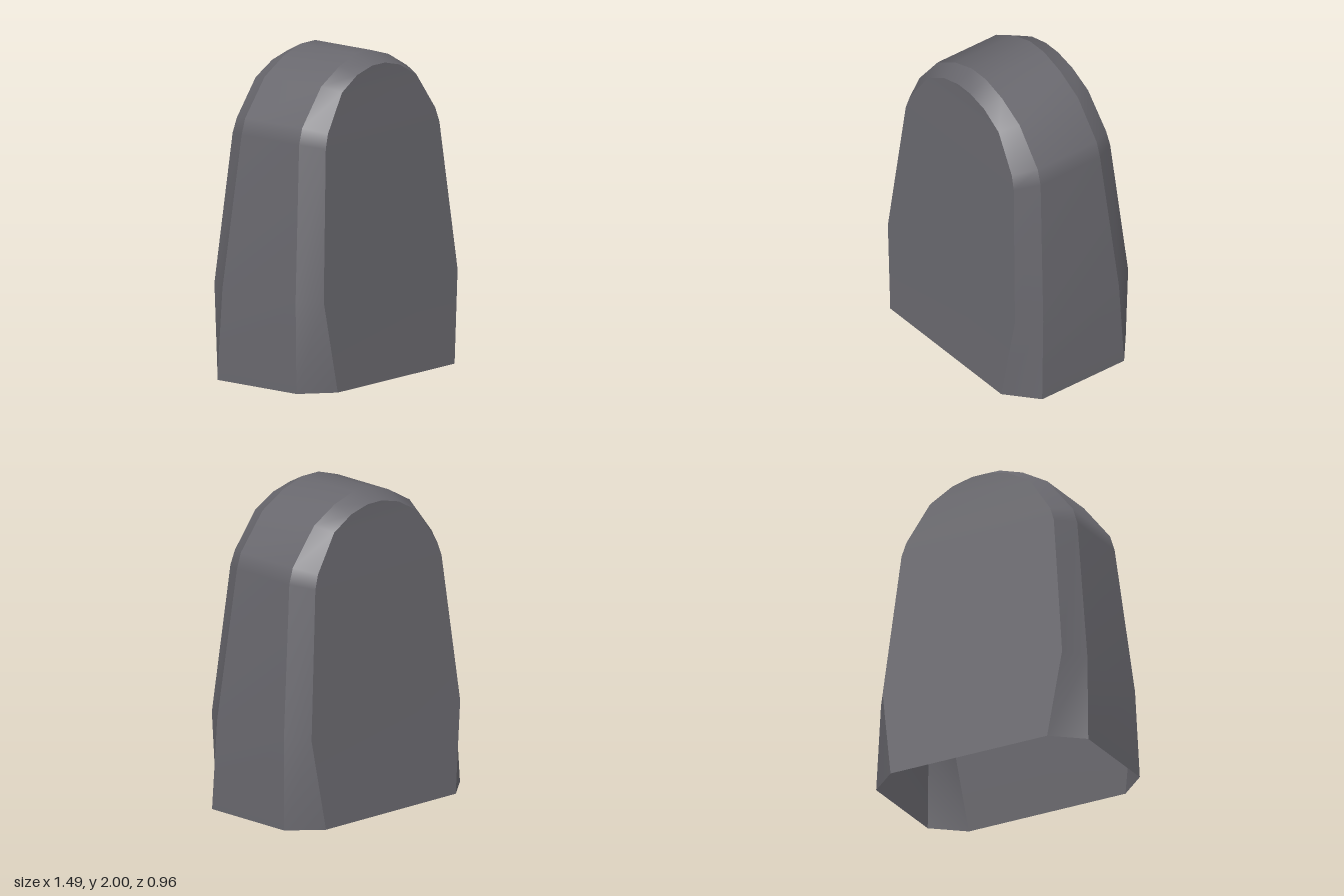
import * as THREE from 'three';

// Right half of the outline from base to crown: [x, y, z]
const rimHalf = [
  [0.745, 0, 0.317], [0.725, 0.57, 0.293], [0.618, 1.52, 0.23], [0.587, 1.62, 0.228],
  [0.405, 1.85, 0.226], [0.23, 1.95, 0.225], [0.07, 2, 0.225],
];
const faceHalf = [
  [0.55, 0, 0.482], [0.63, 0.57, 0.438], [0.535, 1.5, 0.373], [0.505, 1.59, 0.365],
  [0.35, 1.82, 0.346], [0.2, 1.905, 0.341], [0.06, 1.94, 0.34],
];

const flip = (points, sx, sz) => points.map(([x, y, z]) => [x * sx, y, z * sz]);

// Full arch from the right foot, over the crown, to the left foot
const arch = (half) => [...half, ...flip(half, -1, 1).reverse()];

// Smooth ribbon between two matching rows of points
function strip(name, a, b, material) {
  const positions = [];
  const index = [];
  a.forEach((p, i) => {
    positions.push(...p, ...b[i]);
    if (i > 0) {
      const k = 2 * i;
      index.push(k - 2, k - 1, k + 1, k - 2, k + 1, k);
    }
  });
  const geometry = new THREE.BufferGeometry();
  geometry.setAttribute('position', new THREE.Float32BufferAttribute(positions, 3));
  geometry.setIndex(index);
  geometry.computeVertexNormals();
  const mesh = new THREE.Mesh(geometry, material);
  mesh.name = name;
  return mesh;
}

export function createModel() {
  const stone = new THREE.MeshStandardMaterial({ color: 0x68676d, side: THREE.DoubleSide });
  stone.name = 'dark grey stone';

  const group = new THREE.Group();
  group.name = 'headstone';

  const rim = arch(rimHalf);
  const edge = arch(faceHalf);
  const backRim = flip(rim, 1, -1);
  const backEdge = flip(edge, 1, -1);

  // Arched sides and the bevels that join them to the faces; the base is open
  group.add(
    strip('archedSide', rim, backRim, stone),
    strip('frontBevel', edge, rim, stone),
    strip('backBevel', backRim, backEdge, stone),
  );

  // Broad front and back faces
  group.add(
    strip('frontFace', flip(faceHalf, -1, 1), faceHalf, stone),
    strip('backFace', flip(faceHalf, 1, -1), flip(faceHalf, -1, -1), stone),
  );
  return group;
}
